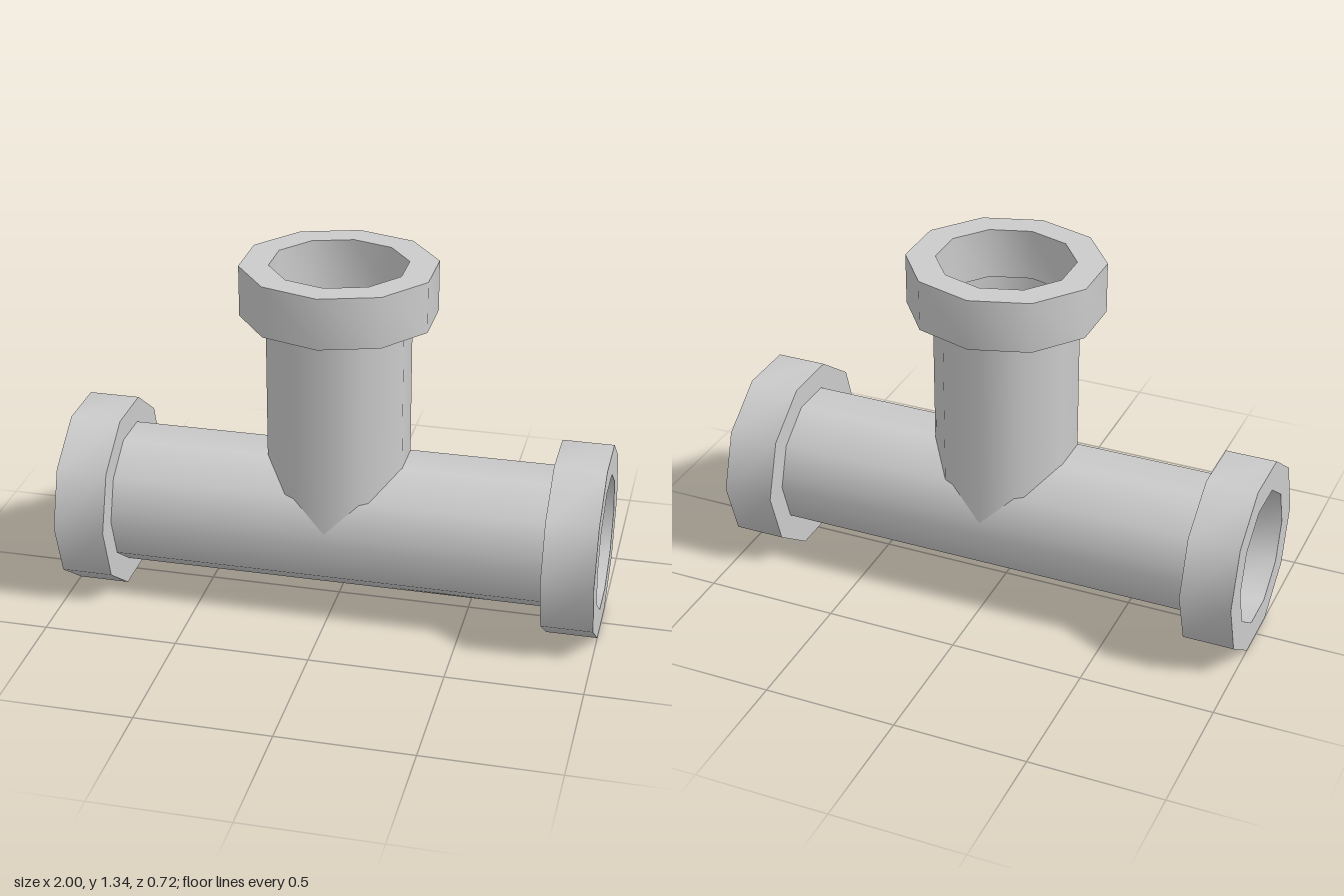
import * as THREE from 'three';
import { toCreasedNormals } from 'three/addons/utils/BufferGeometryUtils.js';

const SIDES = 10, STEP = Math.PI * 2 / SIDES;
const AXIS_Y = 0.343;              // height of the horizontal pipe axis
const R = 0.2655, BRANCH_Z = 0.2525; // pipe radius, and the branch's radius along z
const PIPE_END = 0.81, BRANCH_TOP = 1.155, COLLAR = 0.19;

// Half width at z of a ten-sided outline with radius a across and b along z
function halfWidth(z, a, b) {
  for (let k = 0; k < SIDES / 2; k++) {
    const z0 = b * Math.cos(k * STEP), z1 = b * Math.cos((k + 1) * STEP);
    if (z <= z0 + 1e-9 && z >= z1 - 1e-9) {
      const t = (z0 - z) / (z0 - z1);
      return a * THREE.MathUtils.lerp(Math.sin(k * STEP), Math.sin((k + 1) * STEP), t);
    }
  }
  return 0;
}

// Surface from strips of rungs; a rung is [start, end, normal]
function stripGeometry(strips) {
  const pos = [], nor = [], index = [];
  for (const rungs of strips) {
    rungs.forEach(([p, q, n], i) => {
      const base = pos.length / 3;
      pos.push(...p, ...q);
      const u = new THREE.Vector3(...n).normalize().toArray();
      nor.push(...u, ...u);
      if (i < rungs.length - 1) index.push(base, base + 1, base + 2, base + 1, base + 3, base + 2);
    });
  }
  const g = new THREE.BufferGeometry();
  g.setAttribute('position', new THREE.Float32BufferAttribute(pos, 3));
  g.setAttribute('normal', new THREE.Float32BufferAttribute(nor, 3));
  g.setIndex(index);
  return g;
}

// Thick ten-sided ring standing on y = 0
function collarGeometry() {
  const profile = [[0.2525, 0], [0.36, 0], [0.36, COLLAR], [0.2525, COLLAR], [0.2525, 0]]
    .map(([r, y]) => new THREE.Vector2(r, y));
  return toCreasedNormals(new THREE.LatheGeometry(profile, SIDES), 0.8);
}

export function createModel() {
  const group = new THREE.Group();
  const material = new THREE.MeshStandardMaterial({ color: 0xcccccc, side: THREE.DoubleSide });
  const add = (name, geometry) => {
    const mesh = new THREE.Mesh(geometry, material);
    mesh.name = name;
    group.add(mesh);
    return mesh;
  };

  // Corner positions along z of both pipes, front to back
  const corners = [];
  for (let k = 0; k <= SIDES / 2; k++) corners.push(R * Math.cos(k * STEP), BRANCH_Z * Math.cos(k * STEP));
  corners.sort((a, b) => b - a);

  // Horizontal pipe: upper half is cut out where the branch joins
  const right = [], left = [], lower = [];
  for (const z of corners) {
    const x = halfWidth(z, R, BRANCH_Z), h = halfWidth(z, R, R), y = AXIS_Y + h;
    right.push([[x, y, z], [PIPE_END, y, z], [0, h, z]]);
    left.push([[-PIPE_END, y, z], [-x, y, z], [0, h, z]]);
  }
  for (let k = SIDES / 2; k >= 0; k--) {
    const z = R * Math.cos(k * STEP), h = -R * Math.sin(k * STEP);
    lower.push([[-PIPE_END, AXIS_Y + h, z], [PIPE_END, AXIS_Y + h, z], [0, h, z]]);
  }
  add('mainPipe', stripGeometry([right, left, lower]));

  // Branch pipe: its foot follows the top of the horizontal pipe
  const zs = corners.filter((z) => Math.abs(z) <= BRANCH_Z + 1e-9);
  const rung = (side) => (z) => {
    const x = side * halfWidth(z, R, BRANCH_Z);
    return [[x, BRANCH_TOP, z], [x, AXIS_Y + halfWidth(z, R, R), z], [x, 0, z]];
  };
  add('branchPipe', stripGeometry([[...zs.map(rung(1)), ...zs.slice().reverse().map(rung(-1))]]));

  // Collars on the three openings
  const top = add('topCollar', collarGeometry());
  top.position.y = BRANCH_TOP;
  top.scale.z = 0.951;
  for (const side of [1, -1]) {
    const end = add(side > 0 ? 'leftCollar' : 'rightCollar', collarGeometry());
    end.rotation.z = -side * Math.PI / 2;
    end.position.set(side * PIPE_END, AXIS_Y, 0);
  }
  return group;
}
